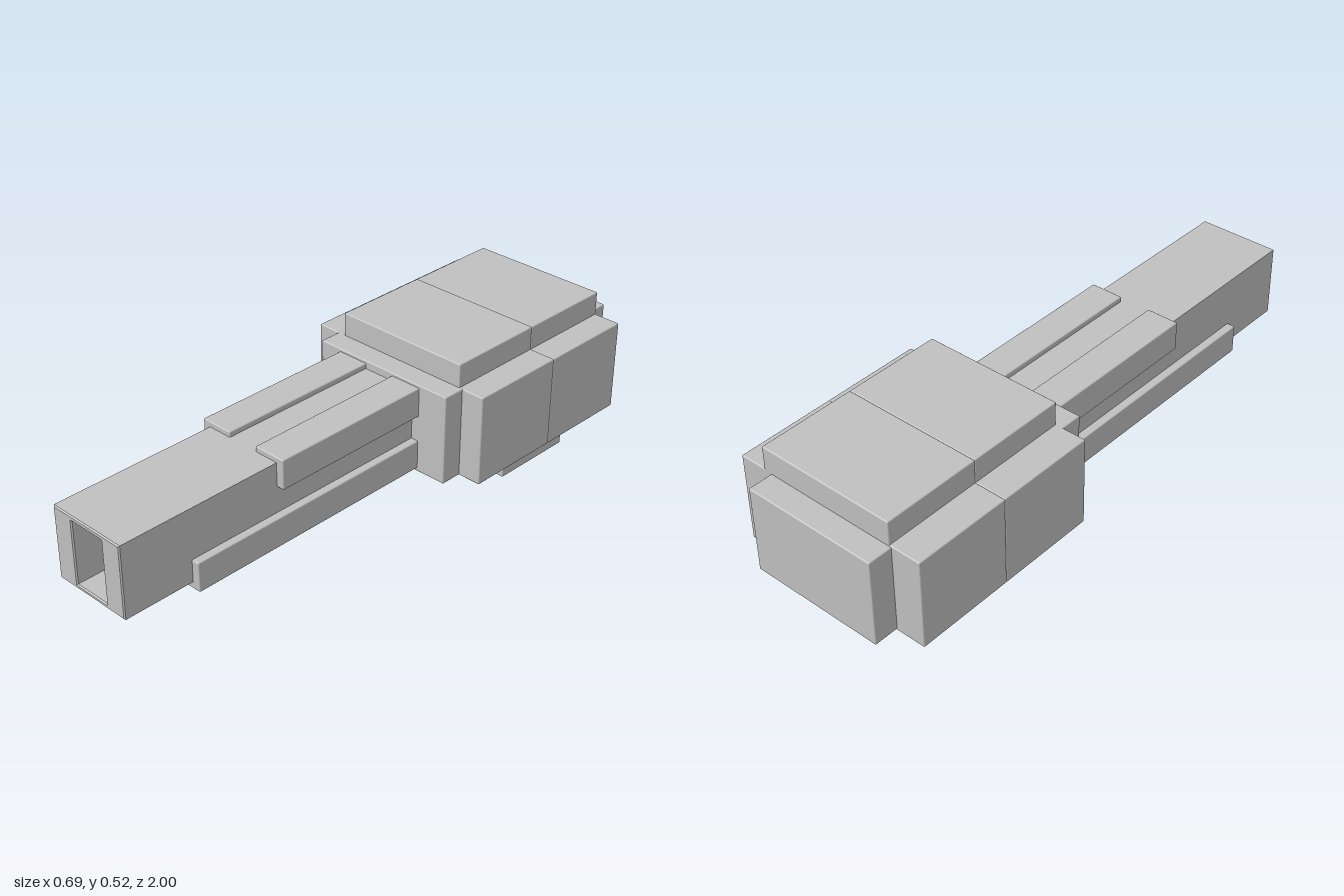
import * as THREE from 'three';
import { RoundedBoxGeometry } from 'three/addons/geometries/RoundedBoxGeometry.js';

const BEVEL = 0.004;

export function createModel() {
  const model = new THREE.Group();
  model.name = 'blockModel';
  const grey = new THREE.MeshStandardMaterial({ color: 0xc0c0c0 });
  grey.name = 'grey';

  // Softly bevelled block given by its extents on each axis
  function block(name, [x0, x1], [y0, y1], [z0, z1]) {
    const geometry = new RoundedBoxGeometry(x1 - x0, y1 - y0, z1 - z0, 2, BEVEL);
    const mesh = new THREE.Mesh(geometry, grey);
    mesh.position.set((x0 + x1) / 2, (y0 + y1) / 2, (z0 + z1) / 2);
    mesh.name = name;
    model.add(mesh);
  }

  function rectangle(path, x0, x1, y0, y1) {
    path.moveTo(x0, y0);
    path.lineTo(x1, y0);
    path.lineTo(x1, y1);
    path.lineTo(x0, y1);
    path.closePath();
    return path;
  }

  // Housing and its lid, each in a front and a rear half
  for (const [half, z] of [['front', [-0.578, -0.233]], ['rear', [-0.917, -0.578]]]) {
    block(half + 'Housing', [-0.348, 0.346], [0.135, 0.445], z);
    block(half + 'Lid', [-0.238, 0.252], [0.44, 0.525], z);
  }
  block('frontCollar', [-0.265, 0.264], [0.135, 0.445], [-0.158, -0.158].map((z, i) => z - 0.09 * (1 - i)));
  block('rearPlate', [-0.245, 0.225], [0.14, 0.441], [-1, -0.91]);
  block('foot', [-0.251, 0.242], [0, 0.14], [-0.787, -0.483]);

  // Long barrel with a rectangular opening
  const outline = rectangle(new THREE.Shape(), -0.157, 0.128, 0.17, 0.417);
  outline.holes.push(rectangle(new THREE.Path(), -0.079, 0.051, 0.185, 0.399));
  const start = -0.18;
  const barrelGeometry = new THREE.ExtrudeGeometry(outline, {
    depth: 1 - start - 2 * BEVEL,
    bevelThickness: BEVEL, bevelSize: BEVEL, bevelOffset: -BEVEL, bevelSegments: 1,
  });
  barrelGeometry.translate(0, 0, start + BEVEL);
  const barrel = new THREE.Mesh(barrelGeometry, grey);
  barrel.name = 'barrel';
  model.add(barrel);

  // Back wall of the opening
  block('openingBack', [-0.09, 0.062], [0.177, 0.41], [0.8, 0.895]);

  // Rails along the barrel corners
  for (const [side, x] of [['right', [-0.185, -0.07]], ['left', [0.04, 0.155]]]) {
    block(side + 'UpperRail', x, [0.334, 0.435], [-0.18, 0.42]);
    block(side + 'LowerRail', x, [0.146, 0.246], [-0.18, 0.752]);
  }
  return model;
}
